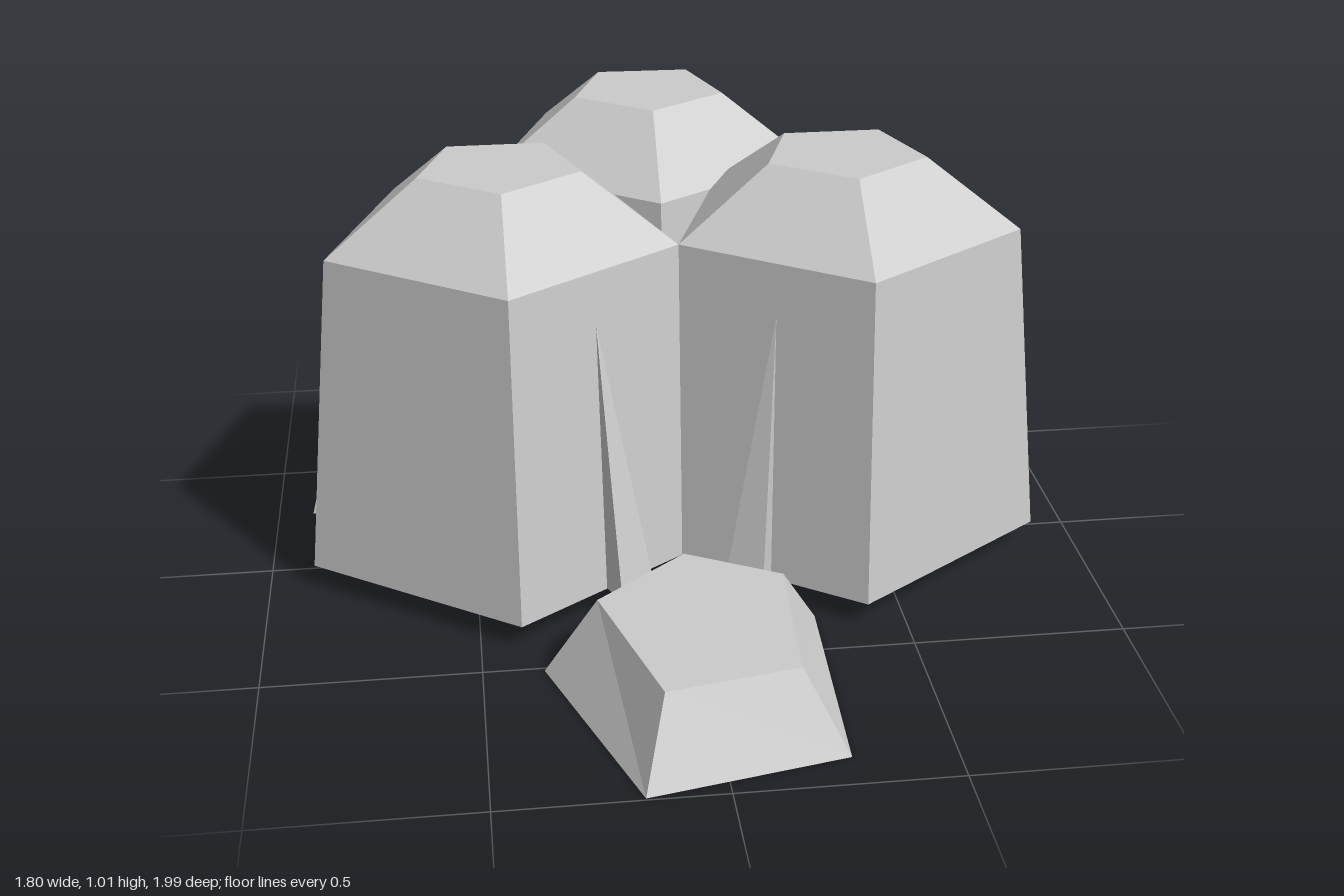
import * as THREE from 'three';

const material = new THREE.MeshStandardMaterial({
  color: 0xcccccc, flatShading: true, side: THREE.DoubleSide,
});

// Skin over stacked rings of [x, y, z] points, closed by a fan to an apex; open below.
function loft(name, rings, apex) {
  const pos = [];
  const n = rings[0].length;
  const tri = (...pts) => pts.forEach((p) => pos.push(...p));
  for (let r = 0; r < rings.length - 1; r++) {
    const a = rings[r], b = rings[r + 1];
    for (let i = 0; i < n; i++) {
      const j = (i + 1) % n;
      tri(a[i], b[i], b[j]);
      tri(a[i], b[j], a[j]);
    }
  }
  const top = rings[rings.length - 1];
  for (let i = 0; i < n; i++) tri(apex, top[(i + 1) % n], top[i]);
  const geo = new THREE.BufferGeometry();
  geo.setAttribute('position', new THREE.Float32BufferAttribute(pos, 3));
  geo.computeVertexNormals();
  const mesh = new THREE.Mesh(geo, material);
  mesh.name = name;
  return mesh;
}

// Five-sided ring with one corner facing the front, slightly squashed in depth
function pentagon(radius, y) {
  return Array.from({ length: 5 }, (_, i) => {
    const a = Math.PI / 2 + (i * Math.PI * 2) / 5;
    return [radius * Math.cos(a), y, 0.936 * radius * Math.sin(a)];
  });
}

// Tapered column with a bevelled cap
function pillar() {
  const profile = [[0.51, 0.06], [0.426, 0.845], [0.197, 1.01]];
  return loft('pillar', profile.map(([r, y]) => pentagon(r, y)), [0, 1.01, 0]);
}

// Slender spike leaning on a pillar wall; angle is the wall's outward direction
function spike(degrees, shift, tipY, tipOut, out) {
  const a = THREE.MathUtils.degToRad(degrees);
  const at = (n, t, y) => [
    n * Math.cos(a) - t * Math.sin(a), y, n * Math.sin(a) + t * Math.cos(a),
  ];
  const base = [
    at(out, shift - 0.05, 0.07), at(out, shift + 0.05, 0.07),
    at(0.4, shift + 0.037, 0.065), at(0.4, shift - 0.037, 0.065),
  ];
  return loft('spike', [base], at(tipOut, 0.006 * Math.sign(shift), tipY));
}

export function createModel() {
  const model = new THREE.Group();

  // Two front pillars, each with an outer and an inner spike
  for (const side of [1, -1]) {
    const g = new THREE.Group();
    g.name = side > 0 ? 'leftPillar' : 'rightPillar';
    const mirror = (deg) => (side > 0 ? deg : 180 - deg);
    g.add(pillar());
    g.add(spike(mirror(-18.7), 0.024 * side, 0.69, 0.36, 0.5));
    g.add(spike(mirror(124.8), 0.013 * side, 0.72, 0.34, 0.472));
    g.position.set(0.405 * side, 0, -0.06);
    model.add(g);
  }

  // Back pillar, turned a little, with a spike on each side
  const back = new THREE.Group();
  back.name = 'backPillar';
  const column = pillar();
  column.rotation.y = -0.022;
  back.add(column);
  back.add(spike(-18.7, 0.024, 0.69, 0.36, 0.5));
  back.add(spike(198.7, -0.024, 0.69, 0.36, 0.5));
  back.position.set(-0.002, 0, -0.6);
  model.add(back);

  // Low sloped slab in front
  const foot = [[0.29, 0.36], [0.27, 0.908], [-0.18, 0.995], [-0.36, 0.51], [-0.025, 0.215]];
  const top = [[0.195, 0.45], [0.174, 0.825], [-0.127, 0.88], [-0.237, 0.51], [-0.02, 0.335]];
  const ring = (pts, y) => pts.map(([x, z]) => [x, y, z]);
  model.add(loft('frontSlab', [ring(foot, 0), ring(top, 0.18)], [0, 0.18, 0.6]));

  return model;
}
